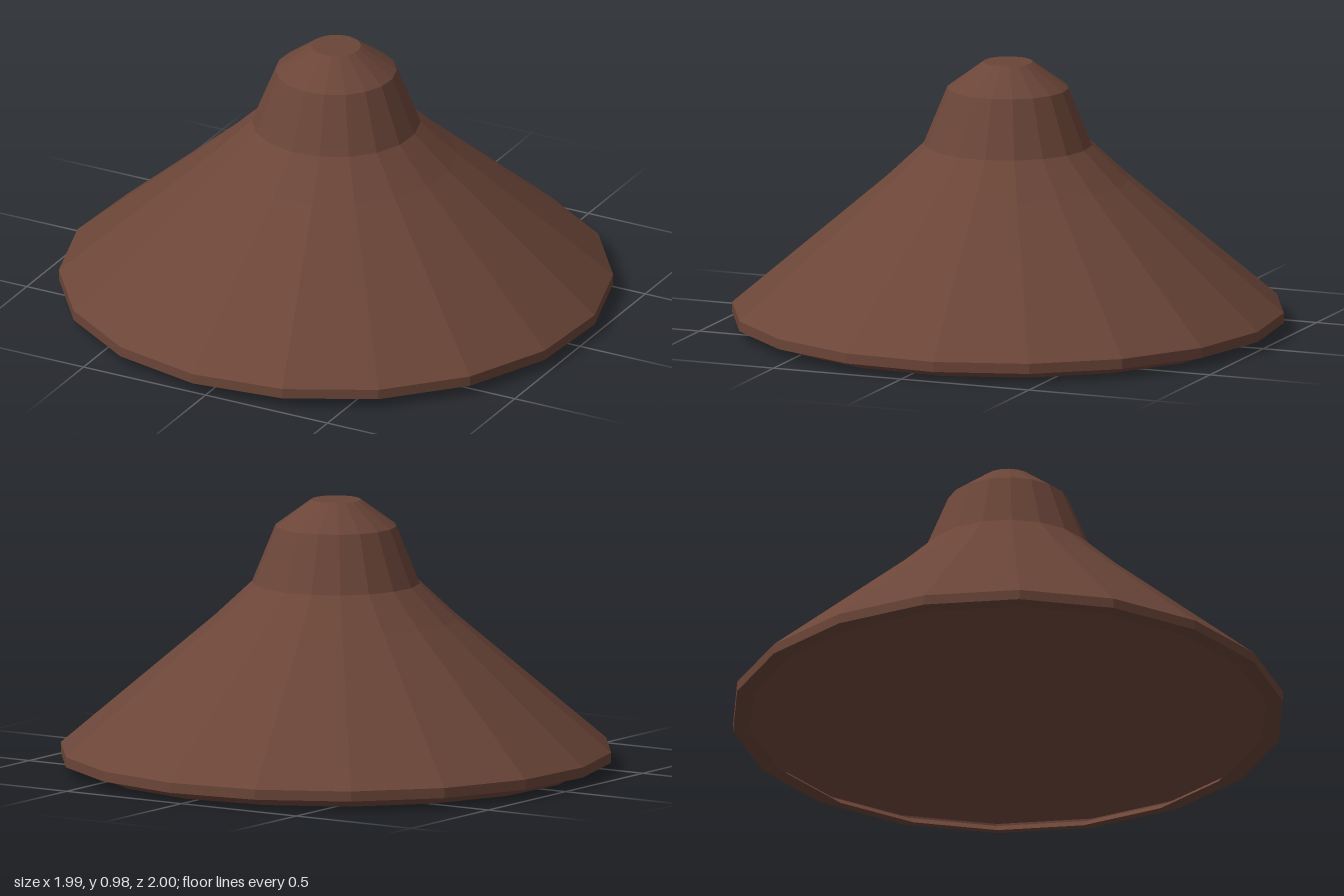
import * as THREE from 'three';

const SIDES = 18;
const TURN = THREE.MathUtils.degToRad(-3);

export function createModel() {
  const group = new THREE.Group();
  group.name = 'conicalHat';
  const material = new THREE.MeshStandardMaterial({
    color: 0x6b4538, flatShading: true, side: THREE.DoubleSide,
  });

  // Spins a [radius, height] profile into a thin faceted shell
  const shell = (name, profile) => {
    const points = profile.map(([r, y]) => new THREE.Vector2(r, y));
    const mesh = new THREE.Mesh(new THREE.LatheGeometry(points, SIDES, TURN), material);
    mesh.name = name;
    group.add(mesh);
  };

  // Knob-like crown with a flat top
  shell('crown', [[0.305, 0.677], [0.22, 0.885], [0.09, 0.98], [0, 0.98]]);

  // Sloping brim, hollow beneath, with its upright edge
  shell('brim', [[1.002, 0.035], [1.002, 0.072], [0.44, 0.55], [0.305, 0.677]]);

  // Turned-in hem: flat underside and bevelled lip
  shell('hem', [[0.9, 0], [0.94, 0.035], [1.002, 0.035]]);

  return group;
}
